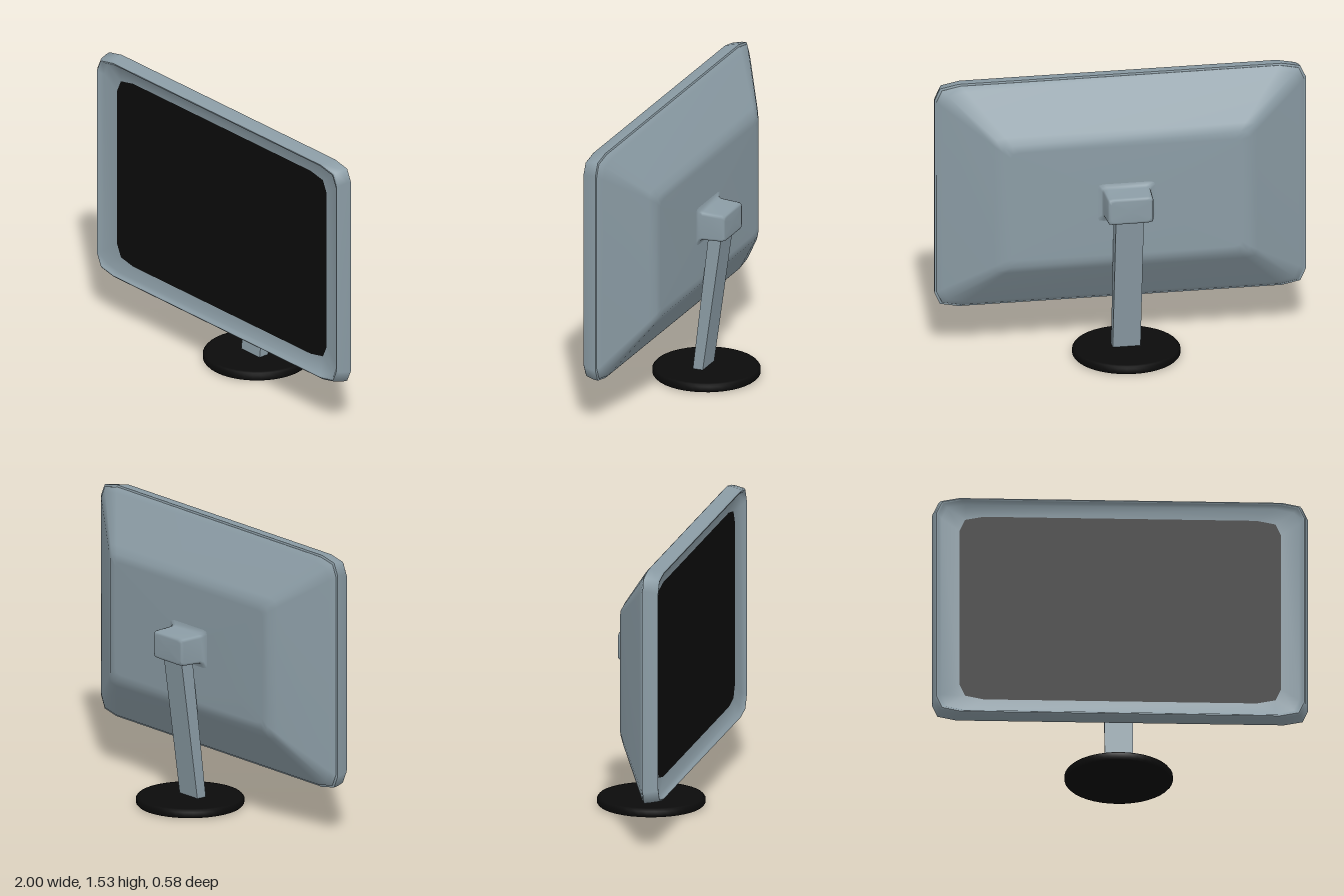
import * as THREE from 'three';

const grey = new THREE.MeshStandardMaterial({ color: 0x8b9ca5 });
const black = new THREE.MeshStandardMaterial({ color: 0x0b0b0b });

// Rectangle with softened corners, counter-clockwise seen from +z; k scales the corner size
function outline(hw, hh, k) {
  const corner = [[hw, hh - 0.085 * k], [hw - 0.03 * k, hh - 0.02 * k], [hw - 0.13 * k, hh]];
  const back = [...corner].reverse();
  return [
    ...corner,
    ...back.map(([x, y]) => [-x, y]),
    ...corner.map(([x, y]) => [-x, -y]),
    ...back.map(([x, y]) => [x, -y]),
  ];
}

// Skin through rings [halfWidth, halfHeight, z, cornerScale], front to back.
// A repeated ring leaves a sharp edge; a last ring of size 0 closes the end.
function loft(rings) {
  const n = 12, pos = [], index = [];
  for (const [hw, hh, z, k] of rings) {
    for (const [x, y] of outline(hw, hh, k)) pos.push(x, y, z);
  }
  for (let i = 0; i < rings.length - 1; i++) {
    if (rings[i] === rings[i + 1]) continue;
    for (let j = 0; j < n; j++) {
      const a = i * n + j, b = i * n + (j + 1) % n;
      index.push(a, a + n, b, a + n, b + n, b);
    }
  }
  const g = new THREE.BufferGeometry();
  g.setAttribute('position', new THREE.Float32BufferAttribute(pos, 3));
  g.setIndex(index);
  g.computeVertexNormals();
  return g;
}

export function createModel() {
  const group = new THREE.Group();
  const add = (name, geometry, material, y = 0) => {
    const mesh = new THREE.Mesh(geometry, material);
    mesh.name = name;
    mesh.position.y = y;
    group.add(mesh);
  };

  // Housing: sloped bezel, rim, seam and tapered back
  const rim = [0.978, 0.622, 0.28, 1];
  const seam = [1, 0.64, 0.2, 1];
  const groove = [0.99, 0.63, 0.197, 1];
  add('housing', loft([
    [0.855, 0.535, 0.245, 1],
    [0.95, 0.6, 0.255, 1],
    [0.97, 0.614, 0.278, 1],
    rim, rim,
    [0.985, 0.63, 0.272, 1],
    [0.997, 0.638, 0.225, 1],
    seam, seam,
    groove, groove,
    [0.988, 0.63, 0.19, 1],
    [0.96, 0.606, 0.172, 0.95],
    [0.71, 0.39, 0.018, 0.5],
    [0.665, 0.35, -0.006, 0.4],
    [0.62, 0.31, -0.01, 0.35],
    [0, 0, -0.01, 0],
  ]), grey, 0.895);

  // Screen
  const screen = new THREE.Shape(outline(0.855, 0.535, 1).map(([x, y]) => new THREE.Vector2(x, y)));
  add('screen', new THREE.ShapeGeometry(screen).translate(0, 0, 0.245), black, 0.895);

  // Mount block flaring into the back
  add('mountBlock', loft([
    [0.16, 0.11, -0.009, 0.25],
    [0.135, 0.087, -0.014, 0.22],
    [0.127, 0.079, -0.03, 0.2],
    [0.122, 0.075, -0.14, 0.2],
    [0.117, 0.07, -0.153, 0.2],
    [0.105, 0.058, -0.156, 0.2],
    [0, 0, -0.156, 0],
  ]), grey, 0.888);

  // Neck: leans back and thickens towards the top
  const neck = new THREE.BoxGeometry(0.15, 0.8, 1);
  const p = neck.attributes.position;
  for (let i = 0; i < p.count; i++) {
    const top = p.getY(i) > 0, front = p.getZ(i) > 0;
    p.setZ(i, top ? (front ? -0.047 : -0.122) : (front ? 0.047 : -0.01));
  }
  neck.computeVertexNormals();
  add('neck', neck, grey, 0.44);

  // Round foot
  const foot = [[0, 0], [0.265, 0], [0.28, 0.004], [0.288, 0.013], [0.288, 0.037],
    [0.28, 0.047], [0.265, 0.05], [0, 0.05]].map(([x, y]) => new THREE.Vector2(x, y));
  add('foot', new THREE.LatheGeometry(foot, 40), black);

  return group;
}
